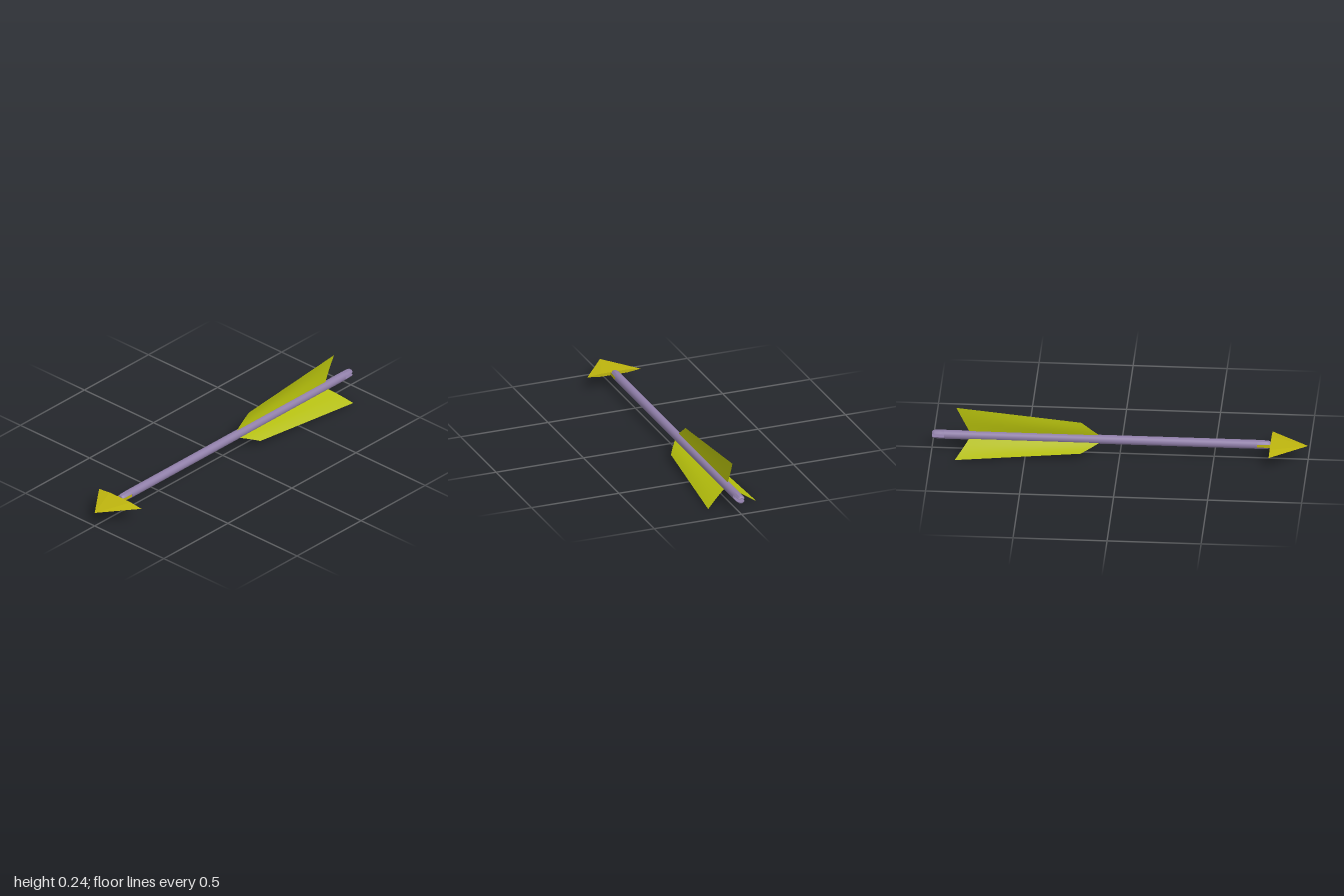
import * as THREE from 'three';
import { toCreasedNormals } from 'three/addons/utils/BufferGeometryUtils.js';

const R = 0.024, AXIS_Y = 0.083, SLOT = 0.008;

const material = (color, extra = {}) => new THREE.MeshStandardMaterial({ color, ...extra });

// One half of a slotted shaft end: a circle segment above the slot, rounded off at the tip (+z)
function prongGeometry(length) {
  const rings = [[0, R], [length * 0.3, R * 0.97], [length * 0.75, R * 0.94], [length * 0.92, R * 0.84], [length, R * 0.62]];
  const n = 12, pos = [], idx = [];
  for (const [z, r] of rings) {
    const a0 = Math.asin(SLOT / r);
    for (let i = 0; i < n; i++) {
      const a = a0 + (Math.PI - 2 * a0) * i / (n - 1);
      pos.push(r * Math.cos(a), r * Math.sin(a), z);
    }
  }
  for (let k = 0; k < rings.length - 1; k++) {
    for (let i = 0; i < n; i++) {
      const a = k * n + i, b = k * n + (i + 1) % n;
      idx.push(a, b, b + n, a, b + n, a + n);
    }
  }
  const last = (rings.length - 1) * n;
  for (let i = 1; i < n - 1; i++) idx.push(last, last + i, last + i + 1);
  const g = new THREE.BufferGeometry();
  g.setAttribute('position', new THREE.Float32BufferAttribute(pos, 3));
  g.setIndex(idx);
  return toCreasedNormals(g, 0.7);
}

// Swept feather standing up along +y, gently bowed sideways
function vaneGeometry() {
  const g = new THREE.PlaneGeometry(1, 1, 16, 8);
  const p = g.attributes.position;
  const lerp = THREE.MathUtils.lerp;
  for (let i = 0; i < p.count; i++) {
    const u = p.getX(i) + 0.5, v = p.getY(i) + 0.5;
    const z = lerp(lerp(-0.105, -0.80, u), lerp(-0.205, -0.87, u), v);
    const y = lerp(0.02, lerp(0.095, 0.16, u), v);
    const bow = -0.005 * Math.sin(Math.PI * v) * Math.sin(Math.PI * (0.15 + 0.7 * u));
    p.setXYZ(i, bow, y, z);
  }
  g.computeVertexNormals();
  return g;
}

export function createModel() {
  const model = new THREE.Group();
  model.name = 'arrow';
  const add = (name, geometry, mat) => {
    const mesh = new THREE.Mesh(geometry, mat);
    mesh.name = name;
    model.add(mesh);
    return mesh;
  };

  const wood = material(0x8f7ea8);
  const headMat = material(0xbdb40e, { flatShading: true });
  const featherMat = material(0xb2bc0c, { side: THREE.DoubleSide });

  // Shaft between the two slots
  const back = -0.935, front = 0.73;
  add('shaft', new THREE.CylinderGeometry(R, R, front - back, 24).rotateX(Math.PI / 2), wood)
    .position.z = (front + back) / 2;

  // Slotted ends: nock at the back, head socket at the front
  const nock = prongGeometry(1 + back), socket = prongGeometry(0.8 - front);
  for (const [label, roll] of [['upper', 0], ['lower', Math.PI]]) {
    const s = add(label + 'SocketProng', socket, wood);
    s.position.z = front;
    s.rotation.z = roll;
    const k = add(label + 'NockProng', nock, wood);
    k.position.z = back;
    k.rotation.set(0, Math.PI, roll);
  }

  // Flat triangular head with a thick middle, and its tang in the socket
  const head = new THREE.ConeGeometry(1, 0.2, 6, 1, false, Math.PI / 2).rotateX(Math.PI / 2);
  head.scale(0.153, 0.01, 1);
  add('arrowHead', head, headMat).position.z = 0.9;
  add('headTang', new THREE.BoxGeometry(0.043, SLOT * 2, 0.075), headMat).position.z = 0.766;

  // Three feathers around the shaft
  const vane = vaneGeometry();
  ['topFeather', 'leftFeather', 'rightFeather'].forEach((name, i) => {
    add(name, vane, featherMat).rotation.z = -i * Math.PI * 2 / 3;
  });

  for (const part of model.children) part.position.y = AXIS_Y;
  return model;
}
